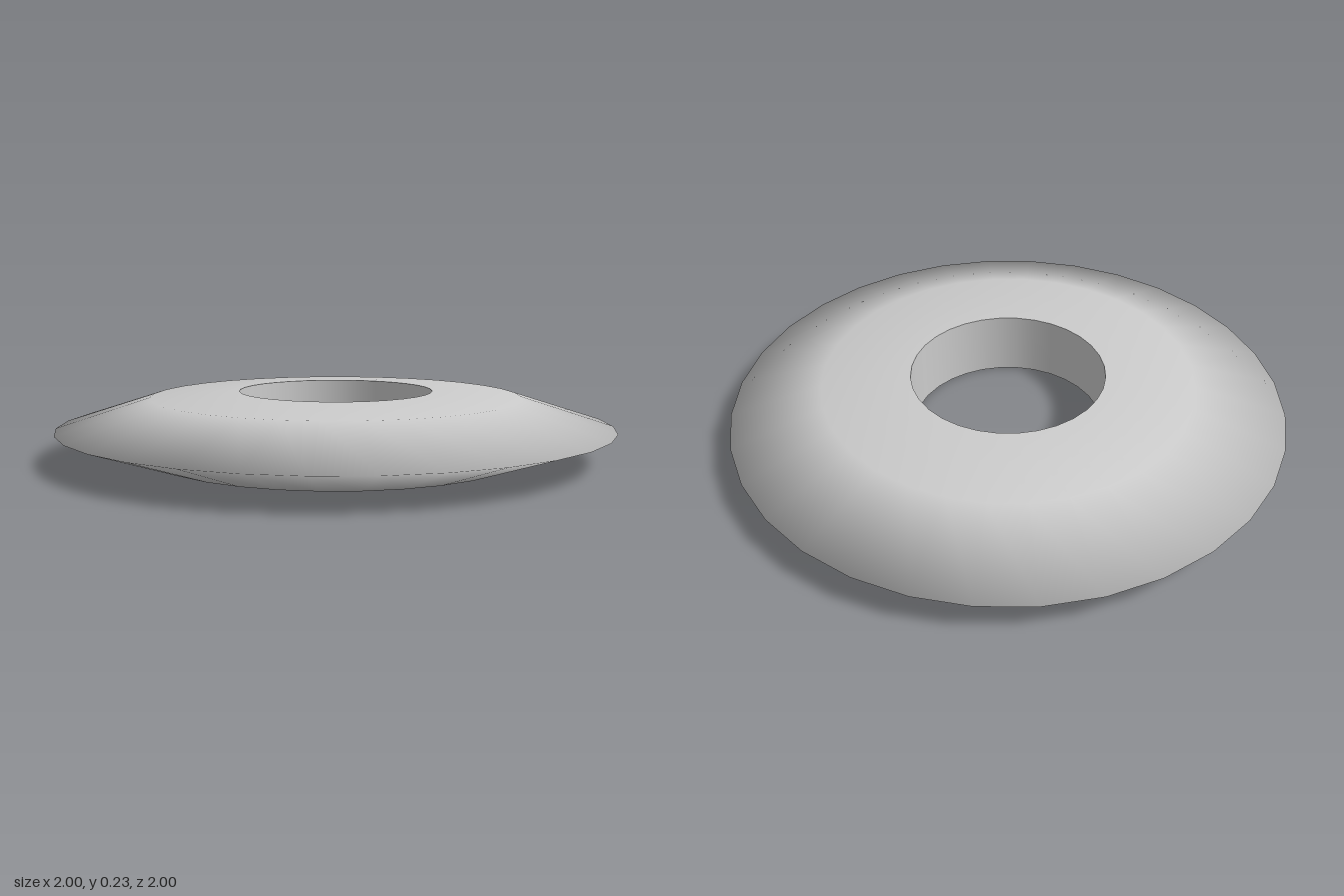
import * as THREE from 'three';

const SEGMENTS = 32;
const HOLE = 0.35;
const TOP = 0.235;

// Revolve a list of [radius, height] points around the y axis
function revolve(name, profile, material) {
  const points = profile.map(([r, y]) => new THREE.Vector2(r, y));
  const mesh = new THREE.Mesh(new THREE.LatheGeometry(points, SEGMENTS), material);
  mesh.name = name;
  return mesh;
}

export function createModel() {
  const group = new THREE.Group();
  group.name = 'ring';
  const material = new THREE.MeshStandardMaterial({ color: 0xcccccc });

  // Flat underside, tapered rim and slightly domed top, smoothly shaded
  group.add(revolve('disc', [
    [HOLE, 0], [0.67, 0], [1, 0.112], [0.67, 0.217], [HOLE, TOP],
  ], material));

  // Straight wall of the hole, separate so its edges stay sharp
  group.add(revolve('holeWall', [[HOLE, TOP], [HOLE, 0]], material));

  return group;
}
